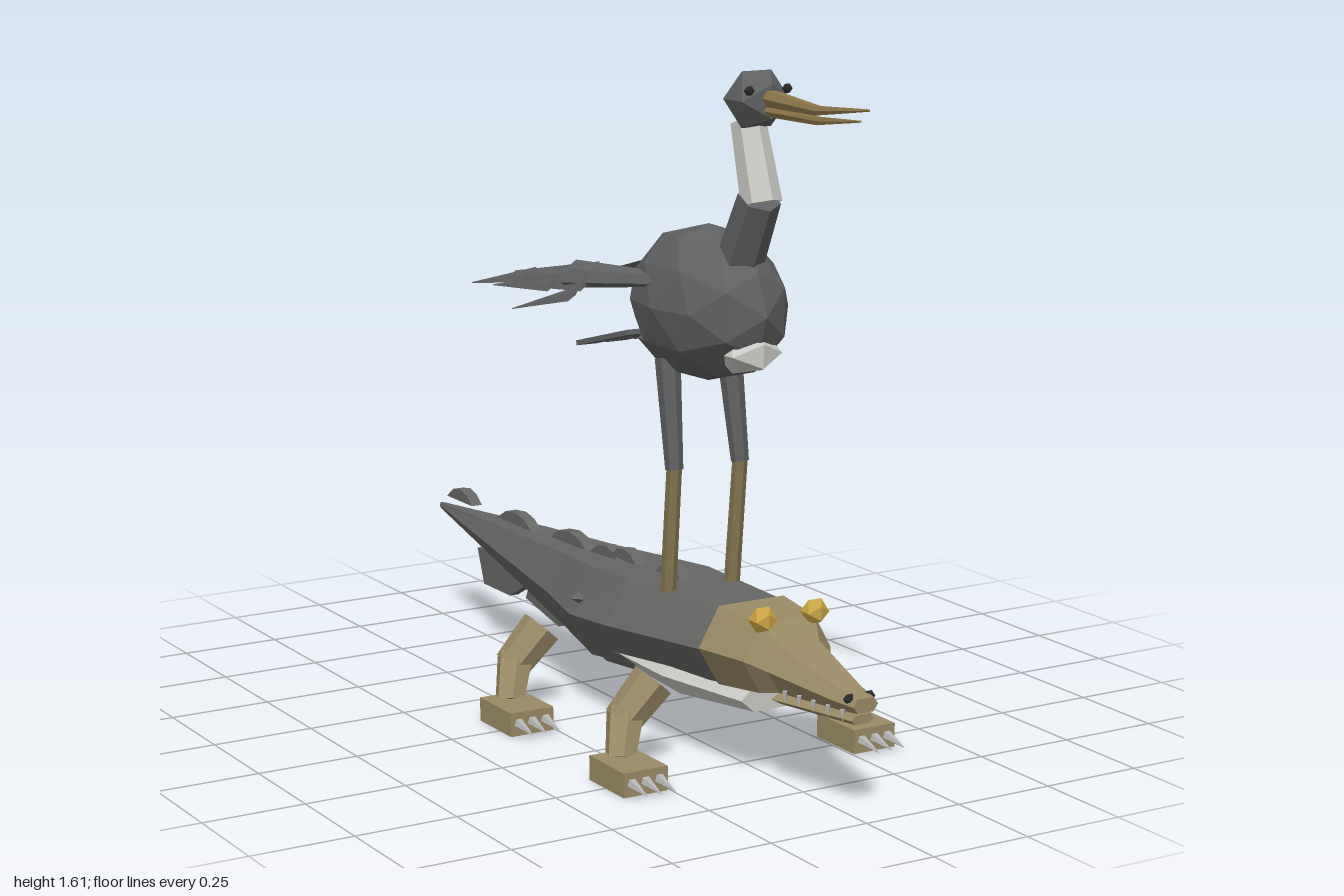
import * as THREE from 'three';

const mat = (name, color) => {
  const m = new THREE.MeshStandardMaterial({ color, flatShading: true });
  m.name = name;
  return m;
};

export function createModel() {
  const hide = mat('reptile grey', 0x666764);
  const tan = mat('reptile tan', 0x9a8a65);
  const pale = mat('pale belly', 0xc9c9c4);
  const gold = mat('gold eye', 0xc9a445);
  const plume = mat('plumage grey', 0x5f6061);
  const shank = mat('leg brown', 0x857650);
  const beakMat = mat('beak brown', 0x8f7748);
  const claw = mat('claw grey', 0xb4b4b2);
  const black = mat('black', 0x292929);

  const model = new THREE.Group();
  const v = (p) => new THREE.Vector3(...p);
  const add = (name, geo, m, pos = [0, 0, 0]) => {
    const mesh = new THREE.Mesh(geo, m);
    mesh.name = name;
    mesh.position.set(...pos);
    model.add(mesh);
    return mesh;
  };

  // Tapered prism between two points; flat squashes it, roll turns it on its axis
  const limb = (name, m, a, b, r1, r2, sides = 6, flat = 1, roll = 0) => {
    const A = v(a), B = v(b), dir = B.clone().sub(A);
    const mesh = add(name, new THREE.CylinderGeometry(r2, r1, dir.length(), sides), m);
    mesh.position.copy(A.add(B).multiplyScalar(0.5));
    mesh.quaternion.setFromUnitVectors(new THREE.Vector3(0, 1, 0), dir.normalize());
    mesh.rotateY(roll);
    mesh.scale.z = flat;
    return mesh;
  };

  // Hexagonal skin over sections [z, half width, bottom, top], front to back
  const ring = [[1, 0], [0.62, 1], [-0.62, 1], [-1, 0], [-0.62, -1], [0.62, -1]];
  const loft = (name, m, sections) => {
    const pos = [], idx = [], n = ring.length, last = (sections.length - 1) * n;
    for (const [z, w, lo, hi] of sections)
      for (const [x, y] of ring) pos.push(x * w, (lo + hi) / 2 + y * (hi - lo) / 2, z);
    for (let i = 0; i < last; i += n)
      for (let j = 0; j < n; j++) {
        const a = i + j, b = i + (j + 1) % n, c = b + n, d = a + n;
        idx.push(a, d, c, a, c, b);
      }
    for (let j = 1; j < n - 1; j++) idx.push(0, j, j + 1, last, last + j + 1, last + j);
    const g = new THREE.BufferGeometry();
    g.setAttribute('position', new THREE.Float32BufferAttribute(pos, 3));
    g.setIndex(idx);
    g.computeVertexNormals();
    return add(name, g, m);
  };

  // Upright plate in the y-z plane from [z, y] corners
  const plate = (name, m, pts, width, x = 0) => {
    const s = new THREE.Shape(pts.map(([z, y]) => new THREE.Vector2(-z, y)));
    const g = new THREE.ExtrudeGeometry(s, { depth: width, bevelEnabled: false });
    g.translate(0, 0, -width / 2).rotateY(Math.PI / 2);
    return add(name, g, m, [x, 0, 0]);
  };

  // Reptile body, belly and head
  loft('reptileBody', hide, [
    [0.53, 0.14, 0.215, 0.385], [0.17, 0.178, 0.17, 0.38], [-0.02, 0.165, 0.145, 0.365],
    [-0.2, 0.125, 0.17, 0.355], [-0.5, 0.085, 0.22, 0.34], [-1, 0.006, 0.295, 0.31],
  ]);
  loft('belly', pale, [
    [0.63, 0.09, 0.165, 0.225], [0.35, 0.13, 0.14, 0.24],
    [0.16, 0.13, 0.15, 0.24],
  ]);
  loft('rearBelly', hide, [
    [0.17, 0.13, 0.148, 0.24], [0, 0.12, 0.13, 0.24], [-0.21, 0.08, 0.165, 0.24],
  ]);
  loft('reptileHead', tan, [
    [0.99, 0.033, 0.25, 0.283], [0.93, 0.045, 0.245, 0.292], [0.73, 0.085, 0.235, 0.342],
    [0.68, 0.118, 0.225, 0.385], [0.53, 0.142, 0.21, 0.395],
  ]);
  loft('lowerJaw', tan, [[0.98, 0.03, 0.222, 0.243], [0.73, 0.075, 0.208, 0.24]]);

  // Back ridge and keel plates under the tail
  for (const [z0, z1, y] of [[0.25, 0.13, 0.375], [0.04, -0.08, 0.37], [-0.04, -0.18, 0.355],
    [-0.2, -0.38, 0.352], [-0.48, -0.66, 0.342], [-0.8, -0.94, 0.342]]) {
    const l = z0 - z1, h = l > 0.13 ? 0.032 : 0.028;
    plate('backRidge', hide,
      [[z0, y], [z1, y], [z1 + l * 0.25, y + h * 0.8], [z0 - l * 0.45, y + h], [z0 - l * 0.2, y + h * 0.7]], 0.03);
  }
  plate('tailKeel', hide, [[-0.2, 0.22], [-0.2, 0.175], [-0.34, 0.125], [-0.51, 0.16], [-0.47, 0.24]], 0.03);
  plate('tailKeel', hide, [[-0.49, 0.25], [-0.5, 0.2], [-0.6, 0.145], [-0.74, 0.145], [-0.775, 0.235]], 0.025);

  for (const s of [1, -1]) {
    // Eyes, nostrils, teeth and flank scales
    add('reptileEye', new THREE.IcosahedronGeometry(0.033, 0), gold, [s * 0.07, 0.397, 0.685]);
    add('nostril', new THREE.IcosahedronGeometry(0.014, 0), black, [s * 0.026, 0.278, 0.965]);
    for (let i = 0; i < 5; i++) {
      const z = 0.95 - i * 0.045, x = s * (0.033 + i * 0.008);
      limb('tooth', claw, [x, 0.252, z], [x, 0.226, z], 0.007, 0.001, 4);
    }
    add('flankScale', new THREE.OctahedronGeometry(0.025, 0), hide, [s * 0.15, 0.3, 0]).scale.y = 0.6;

    // Four splayed reptile legs
    for (const dz of [0, -0.525]) {
      limb('reptileThigh', tan, [s * 0.19, 0.205, 0.41 + dz], [s * 0.27, 0.115, 0.4 + dz], 0.052, 0.045);
      limb('reptileShin', tan, [s * 0.255, 0.135, 0.395 + dz], [s * 0.305, 0.04, 0.455 + dz], 0.046, 0.036);
      add('reptileFoot', new THREE.BoxGeometry(0.115, 0.058, 0.155), tan, [s * 0.313, 0.029, 0.505 + dz]);
      for (const o of [-0.036, 0, 0.036])
        limb('reptileClaw', claw, [s * 0.313 + o, 0.032, 0.575 + dz], [s * 0.313 + o, 0.02, 0.65 + dz], 0.014, 0.001, 5);
    }

    // Bird legs
    limb('birdShank', shank, [s * 0.088, 0.365, 0.308], [s * 0.09, 0.68, 0.338], 0.019, 0.018);
    limb('birdThigh', plume, [s * 0.09, 0.675, 0.338], [s * 0.084, 0.93, 0.298], 0.021, 0.03);

    // Wing arm and trailing feathers
    limb('wingArm', plume, [s * 0.125, 1.12, 0.31], [s * 0.18, 1.095, 0.02], 0.022, 0.04, 6, 0.5, s * 0.6);
    limb('wingBlade', plume, [s * 0.175, 1.1, 0.1], [s * 0.205, 1.052, -0.23], 0.045, 0.022, 4, 0.25, s * 0.7);
    for (const [x, y, z] of [[0.2, 1.008, -0.44], [0.215, 1.025, -0.3], [0.24, 0.99, -0.16]])
      limb('wingFeather', plume, [s * (x - 0.005), 1.07, z + 0.29], [s * x, y, z], 0.026, 0.002, 4, 0.22, s * 0.7);

    add('birdEye', new THREE.IcosahedronGeometry(0.012, 0), black, [s * 0.05, 1.572, 0.583]);
  }

  // Bird body and breast patch
  add('birdBody', new THREE.IcosahedronGeometry(1, 1), plume, [0, 1.06, 0.34]).scale.set(0.157, 0.183, 0.245);
  add('breastPatch', new THREE.IcosahedronGeometry(0.078, 0), pale, [0, 0.97, 0.507]).scale.y = 0.68;
  add('rump', new THREE.IcosahedronGeometry(0.08, 0), plume, [0, 0.95, 0.18]).scale.y = 0.7;

  // Tail feathers
  for (const x of [-0.07, 0, 0.07]) {
    const f = add('tailFeather', new THREE.BoxGeometry(0.06, 0.012, 0.21), plume, [x, 0.934, 0.02]);
    f.rotation.set(-0.27, -x * 1.5, 0);
  }

  // Neck, head and beak
  limb('lowerNeck', plume, [0, 1.16, 0.465], [0, 1.325, 0.55], 0.056, 0.05);
  limb('upperNeck', pale, [0, 1.315, 0.56], [0, 1.495, 0.502], 0.047, 0.04);
  add('birdHead', new THREE.IcosahedronGeometry(0.074, 0), plume, [0, 1.547, 0.535]);
  loft('upperBeak', beakMat, [
    [0.97, 0.003, 1.562, 1.567], [0.78, 0.011, 1.535, 1.555], [0.58, 0.02, 1.535, 1.572]]);
  loft('lowerBeak', beakMat, [
    [0.94, 0.002, 1.536, 1.54], [0.78, 0.008, 1.514, 1.532], [0.58, 0.017, 1.513, 1.538]]);

  return model;
}
